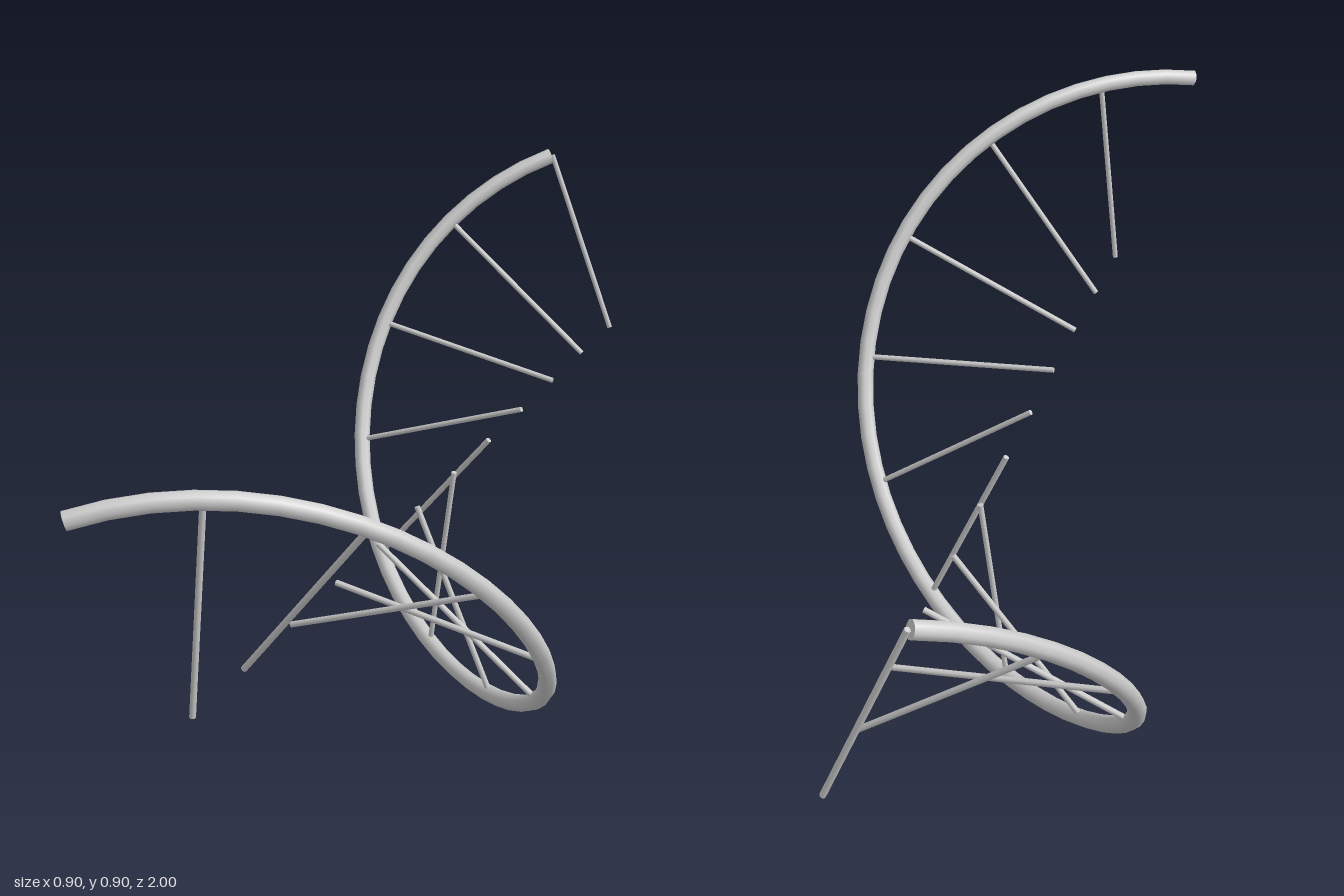
import * as THREE from 'three';

const RADIUS = 0.434;      // helix radius
const TUBE = 0.0175;       // rail thickness (radius)
const AXIS_Y = 0.4515;     // height of the helix axis
const END_Z = 0.987;       // rail centre at either end
const SIDES = 8;

// Point on the helix at depth z, one turn per two units, clockwise from the top
function helixPoint(z, target = new THREE.Vector3()) {
  const a = THREE.MathUtils.degToRad(-20 + 180 * (1 - z));
  return target.set(RADIUS * Math.sin(a), AXIS_Y + RADIUS * Math.cos(a), z);
}

class Helix extends THREE.Curve {
  getPoint(t, target) {
    return helixPoint(END_Z * (1 - 2 * t), target);
  }
}

export function createModel() {
  const model = new THREE.Group();
  model.name = 'spiralRailWithSpokes';
  const material = new THREE.MeshStandardMaterial({ color: 0xcccccc });

  const add = (geometry, name) => {
    const mesh = new THREE.Mesh(geometry, material);
    mesh.name = name;
    model.add(mesh);
    return mesh;
  };

  // Helical rail
  const rail = new THREE.TubeGeometry(new Helix(), 48, TUBE, SIDES, false);
  add(rail, 'rail');

  // Flat caps closing the rail, aligned with its end rings
  for (const [i, sign, name] of [[0, -1, 'frontCap'], [48, 1, 'backCap']]) {
    const basis = new THREE.Matrix4().makeBasis(
      rail.normals[i],
      rail.binormals[i].clone().multiplyScalar(sign),
      rail.tangents[i].clone().multiplyScalar(sign)
    );
    basis.setPosition(helixPoint(-sign * END_Z));
    add(new THREE.CircleGeometry(TUBE, SIDES).applyMatrix4(basis), name);
  }

  // Twelve spokes from the axis out to the rail
  const spoke = new THREE.CylinderGeometry(0.006, 0.006, RADIUS, 8);
  spoke.translate(0, RADIUS / 2, 0);
  const up = new THREE.Vector3(0, 1, 0);
  for (let k = 0; k < 12; k++) {
    const z = 0.855 - 0.1677 * k;
    const hub = new THREE.Vector3(0, AXIS_Y, z);
    const mesh = add(spoke, `spoke${k + 1}`);
    mesh.position.copy(hub);
    mesh.quaternion.setFromUnitVectors(up, helixPoint(z).sub(hub).normalize());
  }

  return model;
}
